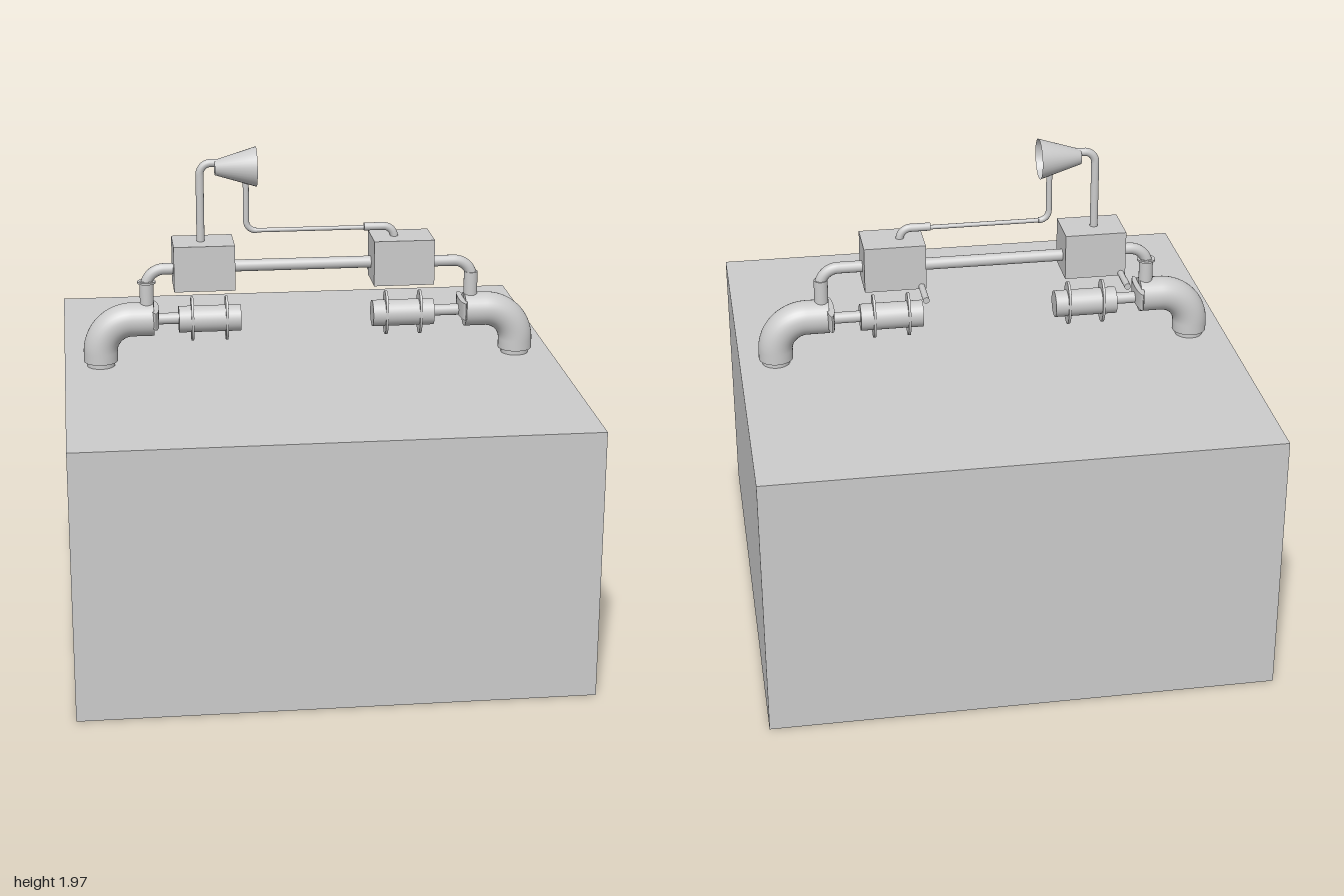
import * as THREE from 'three';

const grey = new THREE.MeshStandardMaterial({ color: 0xcccccc });
const greyOpen = new THREE.MeshStandardMaterial({ color: 0xcccccc, side: THREE.DoubleSide });
const Z = -0.016; // plane of the pipework
const ZV = -0.03; // axis of the valves

function add(parent, name, geometry, x = 0, y = 0, z = 0, material = grey) {
  const mesh = new THREE.Mesh(geometry, material);
  mesh.name = name;
  mesh.position.set(x, y, z);
  parent.add(mesh);
  return mesh;
}

// Cylinder lying along x between x0 and x1
function rod(parent, name, x0, x1, y, z, r, sides = 24) {
  const geometry = new THREE.CylinderGeometry(r, r, Math.abs(x1 - x0), sides).rotateZ(Math.PI / 2);
  return add(parent, name, geometry, (x0 + x1) / 2, y, z);
}

// Capped pipe through [x, y] points, with every corner rounded to the bend radius
function pipe(parent, name, points, bend, r, sides = 16) {
  const p = points.map(([x, y]) => new THREE.Vector3(x, y, 0));
  const path = new THREE.CurvePath();
  let from = p[0];
  for (let i = 1; i < p.length - 1; i++) {
    const toward = (v, d) => p[i].clone().add(v.clone().sub(p[i]).setLength(d));
    const a = toward(p[i - 1], bend);
    const b = toward(p[i + 1], bend);
    path.add(new THREE.LineCurve3(from, a));
    path.add(new THREE.CubicBezierCurve3(a, toward(p[i - 1], bend * 0.448), toward(p[i + 1], bend * 0.448), b));
    from = b;
  }
  path.add(new THREE.LineCurve3(from, p[p.length - 1]));

  const group = new THREE.Group();
  group.name = name;
  group.position.z = Z;
  add(group, name + 'Tube', new THREE.TubeGeometry(path, 48, r, sides, false), 0, 0, 0, greyOpen);
  for (const t of [0, 1]) {
    const end = path.getPointAt(t);
    const outward = path.getTangentAt(t).multiplyScalar(t ? 1 : -1);
    const cap = add(group, name + 'Cap', new THREE.CircleGeometry(r, sides), end.x, end.y, 0);
    cap.quaternion.setFromUnitVectors(new THREE.Vector3(0, 0, 1), outward);
  }
  parent.add(group);
}

// Large elbow, riser, flange and valve on one side (s = -1 or 1)
function buildSide(s) {
  const side = new THREE.Group();
  side.name = s > 0 ? 'leftInlet' : 'rightInlet';

  add(side, 'footCollar', new THREE.CylinderGeometry(0.056, 0.056, 0.03, 24), s * 0.853, 1.09, Z);
  pipe(side, 'largeElbow', [[s * 0.853, 1.1], [s * 0.853, 1.27], [s * 0.636, 1.27]], 0.13, 0.069, 32);

  // Flattened flange on the mouth of the elbow
  const flange = add(side, 'flange', new THREE.CylinderGeometry(1, 1, 0.07, 24), s * 0.63, 1.28, -0.028);
  flange.scale.set(0.016, 1, 0.095);

  // Riser and small bend into the junction box
  add(side, 'riser', new THREE.CylinderGeometry(0.028, 0.028, 0.11, 20), s * 0.662, 1.375, Z);
  pipe(side, 'smallElbow', [[s * 0.665, 1.4], [s * 0.665, 1.478], [s * 0.45, 1.478]], 0.075, 0.023);
  if (s < 0) add(side, 'riserRim', new THREE.CylinderGeometry(0.037, 0.037, 0.008, 20), -0.662, 1.425, Z);

  // Valve body with its two oval plates
  rod(side, 'valveStem', s * 0.5, s * 0.64, 1.265, ZV, 0.023);
  rod(side, 'valveBody', s * 0.27 - 0.012, s * 0.522 - 0.012, 1.26, ZV, 0.054, 32);
  for (const x of [0.327, 0.467]) {
    const plate = rod(side, 'valvePlate', -0.005, 0.005, 1.261, ZV, 0.092, 32);
    plate.position.x = s * x - 0.012;
    plate.scale.z = 0.64;
  }
  return side;
}

export function createModel() {
  const model = new THREE.Group();
  model.name = 'pipeworkOnBlock';

  add(model, 'baseBlock', new THREE.BoxGeometry(2, 1.08, 2), 0, 0.54, 0);
  for (const s of [-1, 1]) model.add(buildSide(s));

  // Junction boxes, each with a lever pointing to the back
  for (const x of [-0.432, 0.373]) {
    add(model, 'junctionBox', new THREE.BoxGeometry(0.245, 0.185, 0.187), x, 1.497, Z);
    const lever = new THREE.CylinderGeometry(0.013, 0.013, 0.2, 12).rotateX(Math.PI / 2);
    add(model, 'lever', lever, x - 0.104, 1.414, -0.14);
  }
  rod(model, 'crossPipe', -0.35, 0.3, 1.478, -0.034, 0.024);

  // Horn with its supply pipe
  pipe(model, 'hornPipe', [[-0.441, 1.57], [-0.441, 1.907], [-0.36, 1.907]], 0.045, 0.016);
  const hornProfile = [[0, 0], [0.03, 0], [0.08, 0.166]].map(([r, h]) => new THREE.Vector2(r, h));
  const horn = add(model, 'horn', new THREE.LatheGeometry(hornProfile, 32), -0.381, 1.888, Z, greyOpen);
  horn.rotation.z = -Math.PI / 2;

  // Drain line from the horn to the other box
  pipe(model, 'drainBend', [[-0.257, 1.83], [-0.257, 1.627], [-0.215, 1.627]], 0.04, 0.012);
  rod(model, 'drainPipe', -0.22, 0.23, 1.627, Z, 0.009, 12);
  pipe(model, 'drainInlet', [[0.22, 1.63], [0.343, 1.63], [0.343, 1.58]], 0.045, 0.016);

  return model;
}
